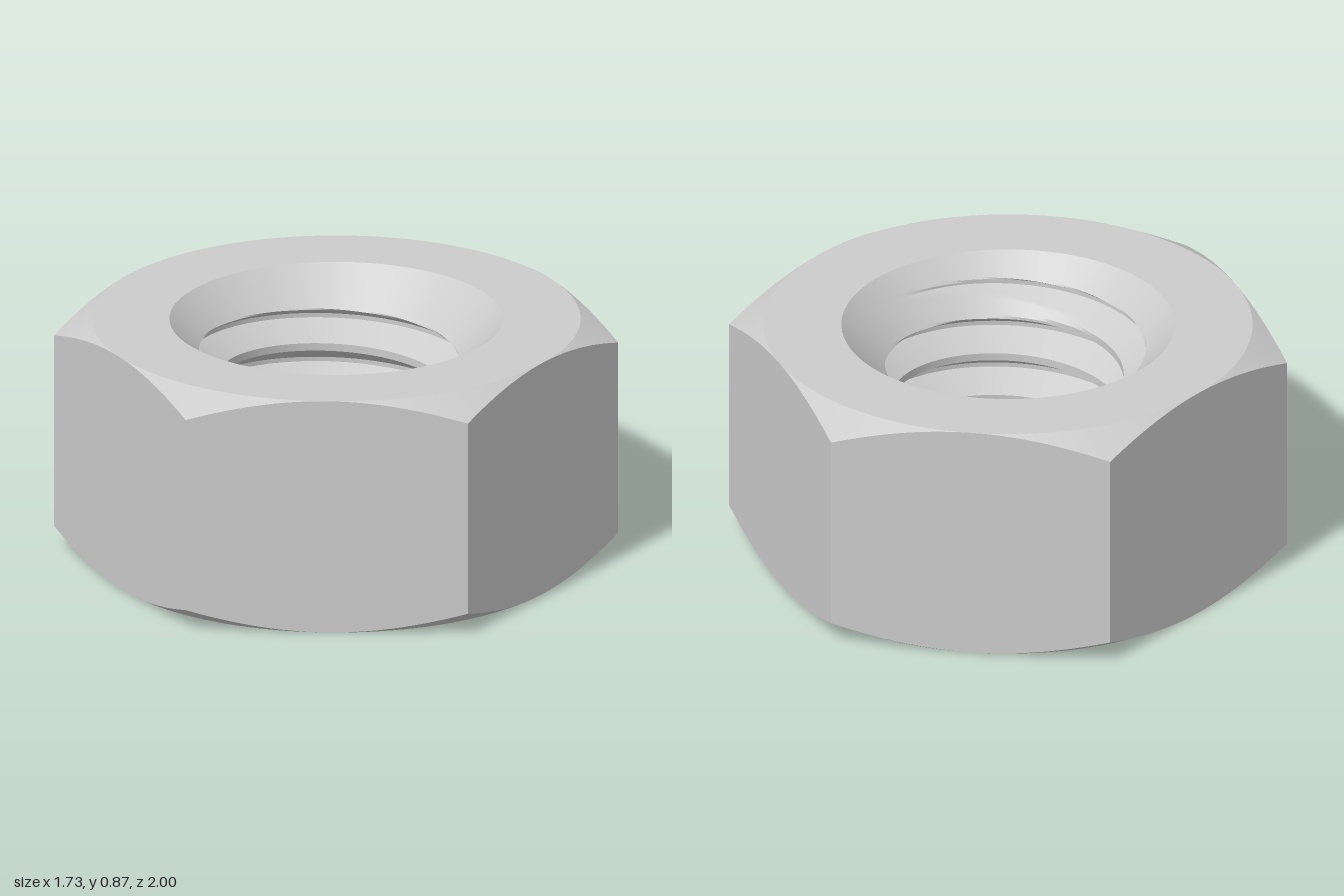
import * as THREE from 'three';
import { toCreasedNormals } from 'three/addons/utils/BufferGeometryUtils.js';

const HEIGHT = 0.87;
const APOTHEM = 0.866;   // half the width across flats
const MOUTH = 0.59;      // radius of the countersink at each face
const MINOR = 0.41;      // thread crest radius
const MAJOR = 0.515;     // thread root radius
const PITCH = 0.165;
const THREAD_START = 0.694; // height of a crest edge at angle 0
const TURN = Math.PI * 2;

// Grid surface around the y axis; point(row, angle) returns [radius, y]
function sweep(rows, segments, point, crease) {
  const positions = [], indices = [];
  for (let i = 0; i < rows; i++) {
    for (let j = 0; j <= segments; j++) {
      const angle = (j / segments) * TURN;
      const [r, y] = point(i, angle);
      positions.push(r * Math.sin(angle), y, r * Math.cos(angle));
    }
  }
  const w = segments + 1;
  for (let i = 0; i < rows - 1; i++) {
    for (let j = 0; j < segments; j++) {
      const a = i * w + j;
      indices.push(a, a + 1, a + w, a + 1, a + w + 1, a + w);
    }
  }
  const geometry = new THREE.BufferGeometry();
  geometry.setAttribute('position', new THREE.Float32BufferAttribute(positions, 3));
  geometry.setIndex(indices);
  return toCreasedNormals(geometry, crease);
}

// Hexagonal body with 30 degree conical chamfers at both faces
function bodyGeometry() {
  const sector = Math.PI / 3;
  return sweep(6, 144, (row, angle) => {
    const hex = APOTHEM / Math.cos((angle % sector) - sector / 2);
    const drop = (hex - APOTHEM) * Math.tan(Math.PI / 6);
    return [
      [MOUTH, 0], [APOTHEM, 0], [hex, drop],
      [hex, HEIGHT - drop], [APOTHEM, HEIGHT], [MOUTH, HEIGHT],
    ][row];
  }, 0.4);
}

// Helical thread, cut off by the 45 degree countersinks at both ends
function boreGeometry() {
  const flank = (MAJOR - MINOR) * Math.tan(Math.PI / 6);
  const root = 0.016;
  // One pitch, from a crest edge downwards: [depth, radius, steps to the next knot]
  const knots = [
    [0, MINOR, 12], [flank, MAJOR, 2], [flank + root, MAJOR, 12],
    [2 * flank + root, MINOR, 3], [PITCH, MINOR, 0],
  ];
  const profile = [];
  for (let turn = -2; turn < 6; turn++) {
    for (let k = 0; k < knots.length - 1; k++) {
      const [d0, r0, steps] = knots[k], [d1, r1] = knots[k + 1];
      for (let s = 0; s < steps; s++) {
        const t = s / steps;
        profile.push([r0 + (r1 - r0) * t, THREAD_START - turn * PITCH - d0 - (d1 - d0) * t]);
      }
    }
  }
  return sweep(profile.length, 120, (row, angle) => {
    const [r, y0] = profile[row];
    const y = THREE.MathUtils.clamp(y0 + (PITCH * angle) / TURN, 0, HEIGHT);
    return [Math.max(r, MOUTH - Math.min(y, HEIGHT - y)), y];
  }, 0.4);
}

export function createModel() {
  const group = new THREE.Group();
  group.name = 'hexNut';
  const material = new THREE.MeshStandardMaterial({ color: 0xcccccc });
  const add = (name, geometry) => {
    const mesh = new THREE.Mesh(geometry, material);
    mesh.name = name;
    group.add(mesh);
  };
  add('hexBody', bodyGeometry());
  add('threadedBore', boreGeometry());
  return group;
}
